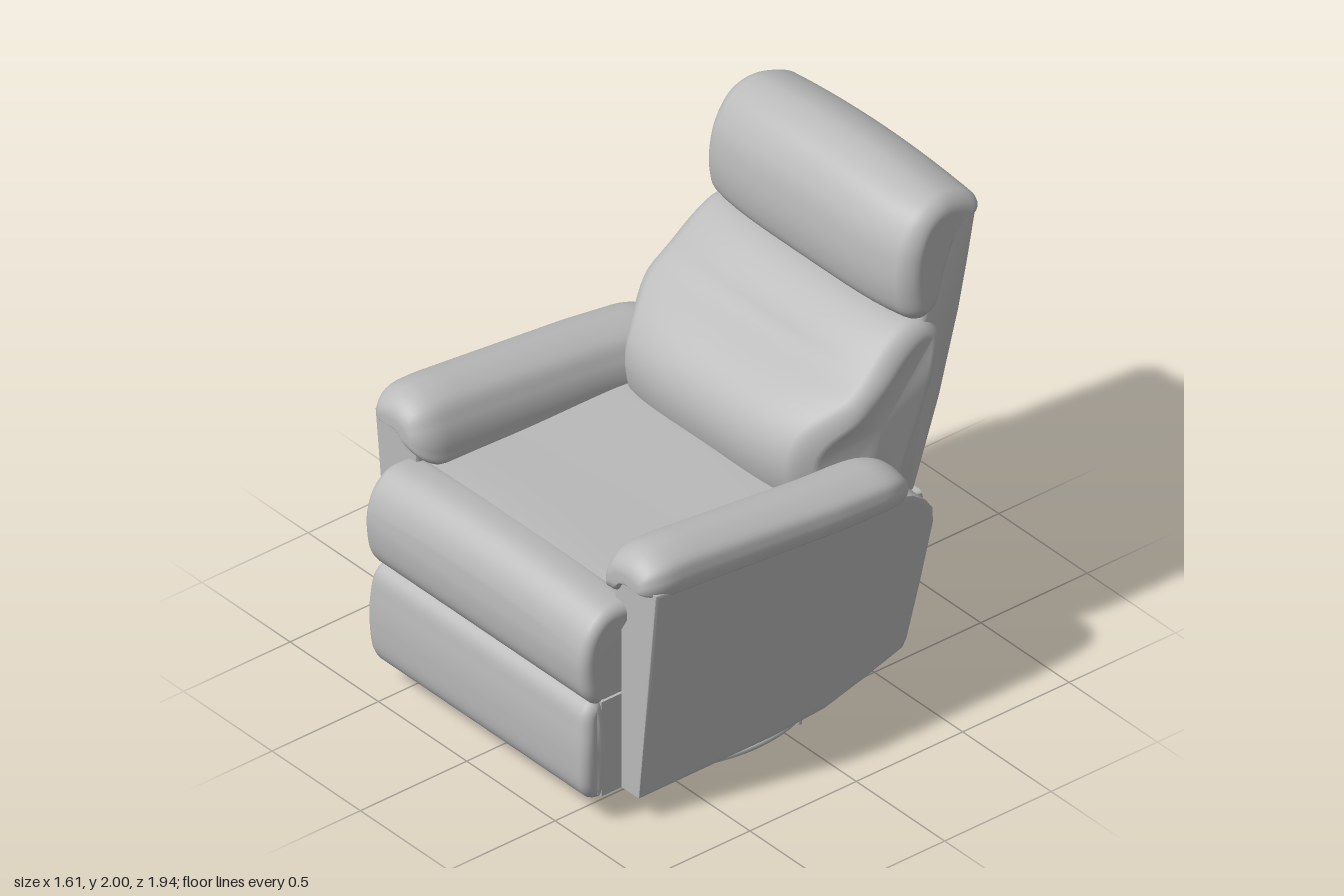
import * as THREE from 'three';
import { toCreasedNormals } from 'three/addons/utils/BufferGeometryUtils.js';

const leather = new THREE.MeshStandardMaterial({ color: 0xbababa });
leather.name = 'grey leather';
const { smoothstep, clamp } = THREE.MathUtils;

// Skin a row of closed rings of [x, y, z], cap both ends and face it outward
function loft(rings) {
  const n = rings[0].length, pos = rings.flat(2), idx = [];
  const centre = ring => [0, 1, 2].map(k => ring.reduce((s, p) => s + p[k], 0) / n);
  const last = rings.length - 1, c0 = rings.length * n;
  pos.push(...centre(rings[0]), ...centre(rings[last]));
  for (let j = 0; j < n; j++) {
    const k = (j + 1) % n;
    for (let i = 0; i < last; i++) {
      const a = i * n + j, b = i * n + k;
      idx.push(a, b, b + n, a, b + n, a + n);
    }
    idx.push(c0, k, j, c0 + 1, last * n + j, last * n + k);
  }
  // a negative volume means the corners run the wrong way
  const v = i => new THREE.Vector3(pos[3 * i], pos[3 * i + 1], pos[3 * i + 2]);
  let volume = 0;
  for (let i = 0; i < idx.length; i += 3) volume += v(idx[i]).dot(v(idx[i + 1]).cross(v(idx[i + 2])));
  if (volume < 0) idx.reverse();
  const g = new THREE.BufferGeometry();
  g.setAttribute('position', new THREE.Float32BufferAttribute(pos, 3));
  g.setIndex(idx);
  g.computeVertexNormals();
  return g;
}

// Smooth closed outline through [a, b] points
function outline(points, count) {
  const curve = new THREE.CatmullRomCurve3(points.map(p => new THREE.Vector3(p[0], p[1], 0)), true, 'centripetal');
  return curve.getSpacedPoints(count).slice(0, -1).map(p => new THREE.Vector2(p.x, p.y));
}

// Side profile of [z, y] points stretched across x, with edges rounded by r
function slab(profile, x0, x1, r, { smooth = true, warp = p => p } = {}) {
  const pts = smooth ? outline(profile, 64) : profile.map(p => new THREE.Vector2(...p));
  const sign = THREE.ShapeUtils.isClockWise(pts) ? -1 : 1, n = pts.length;
  const inward = pts.map((p, i) => {
    const t = pts[(i + 1) % n].clone().sub(pts[(i + n - 1) % n]).normalize();
    return new THREE.Vector2(-t.y * sign, t.x * sign);
  });
  const stations = [];
  for (let i = 0; i <= 6; i++) {
    const a = (i / 6) * Math.PI / 2;
    stations.push([x0 + r - r * Math.cos(a), r * (1 - Math.sin(a))]);
  }
  for (let i = 1; i < 14; i++) stations.push([x0 + r + (x1 - x0 - 2 * r) * i / 14, 0]);
  for (let i = 0; i <= 6; i++) {
    const a = (i / 6) * Math.PI / 2;
    stations.push([x1 - r + r * Math.sin(a), r * (1 - Math.cos(a))]);
  }
  const g = loft(stations.map(([x, d]) =>
    pts.map((p, i) => warp([x, p.y + inward[i].y * d, p.x + inward[i].x * d]))));
  return smooth ? g : toCreasedNormals(g, 0.6);
}

// Padded armrest that curls over the inner side of the panel
function armPad(side) {
  const pts = outline([[0.785, 0.04], [0.8, 0.18], [0.8, 0.5], [0.765, 0.83], [0.67, 1], [0.58, 0.86], [0.515, 0.4],
    [0.49, -0.2], [0.505, -0.55], [0.55, -0.5], [0.6, -0.12], [0.65, 0.06], [0.7, 0.12], [0.75, 0.06]], 56);
  const rings = [];
  for (let i = 0; i <= 40; i++) {
    const z = 0.165 + 0.64 * Math.cos(Math.PI * i / 40);
    const d = Math.max(0, (z - 0.675) / 0.13, (-0.32 - z) / 0.155);
    const e = Math.sqrt(Math.max(0, 1 - d * d));
    const top = Math.min(1.16, 1.16 - (0.6 - z) * 0.11), bottom = 0.9 + (z + 0.47) * 0.08;
    const shift = z < -0.1 ? (z + 0.1) * 0.06 : 0;
    rings.push(pts.map(p => [
      side * (0.66 + (p.x - 0.66) * (0.5 + 0.5 * e) + shift),
      bottom + (0.2 + (p.y - 0.2) * (0.25 + 0.75 * e)) * (top - bottom), z]));
  }
  return loft(rings);
}

export function createModel() {
  const model = new THREE.Group();
  const add = (name, geometry, x = 0, y = 0, z = 0) => {
    const mesh = new THREE.Mesh(geometry, leather);
    mesh.name = name;
    mesh.position.set(x, y, z);
    model.add(mesh);
    return mesh;
  };
  const box = (name, w, h, d, x, y, z) => add(name, new THREE.BoxGeometry(w, h, d), x, y, z);

  // Side panels flare outward to the top and narrow to the back
  const panel = [[0.77, 0.1], [0.77, 0.6], [0.77, 1.03], [0.35, 1.0], [-0.05, 0.96], [-0.42, 0.92], [-0.5, 0.885],
    [-0.57, 0.83], [-0.615, 0.77], [-0.625, 0.7], [-0.58, 0.45], [-0.53, 0.21], [-0.51, 0.18],
    [-0.3, 0.145], [-0.1, 0.12], [0.15, 0.1]];
  for (const side of [1, -1]) {
    const flare = ([x, y, z]) => {
      const outer = 0.7 + 0.1 * (y - 0.1) / 0.95 - Math.max(0, -0.1 - z) * 0.15;
      return [side * (0.56 + (outer - 0.56) * x), y, z];
    };
    // the unit-wide slab is squeezed to the panel thickness
    add('sidePanel', slab(panel, 0, 1, 0.025, { smooth: false, warp: flare }));
    add('armPad', armPad(side));
  }

  // Seat cushion, front roll and closed footrest
  const crown = w => ([x, y, z]) => [x, y + (y > 0.75 ? 0.03 * (1 - (x / w) ** 2) : 0), z];
  add('seatCushion', slab([[-0.4, 0.6], [-0.4, 0.86], [-0.2, 0.885], [0.3, 0.895], [0.75, 0.905], [0.85, 0.89],
    [0.88, 0.8], [0.85, 0.6], [0.7, 0.55], [0, 0.55]], -0.56, 0.56, 0.03, { warp: crown(0.56) }));
  add('seatFrontRoll', slab([[0.72, 0.89], [0.8, 0.91], [0.87, 0.9], [0.935, 0.84], [0.966, 0.75], [0.966, 0.66],
    [0.945, 0.57], [0.9, 0.52], [0.86, 0.54], [0.84, 0.65], [0.82, 0.75], [0.77, 0.81]],
  -0.63, 0.63, 0.04, { warp: crown(0.63) }));
  add('footrest', slab([[0.9, 0.525], [0.94, 0.49], [0.956, 0.4], [0.96, 0.28], [0.945, 0.15], [0.91, 0.105],
    [0.865, 0.1], [0.855, 0.2], [0.855, 0.4], [0.865, 0.51]], -0.625, 0.625, 0.04,
  { warp: ([x, y, z]) => [x * (0.975 + 0.025 * Math.sin(Math.PI * (y - 0.1) / 0.42)), y, z] }));
  box('footrestBacking', 1.2, 0.41, 0.1, 0, 0.305, 0.815);
  box('seatFrontBacking', 1.2, 0.3, 0.09, 0, 0.67, 0.815);

  // Backrest shell, slightly narrower to the top
  add('backShell', slab([[-0.95, 1.88], [-0.905, 1.66], [-0.86, 1.47], [-0.76, 1.13], [-0.635, 0.79], [-0.61, 0.75],
    [-0.36, 0.75], [-0.43, 1.0], [-0.67, 1.5], [-0.8, 1.88]], -0.58, 0.58, 0.03,
  { smooth: false, warp: ([x, y, z]) => [x * (1 - 0.05 * (y - 0.75) / 1.13), y, z] }));

  // Body cushion, narrowed at the front between the arms, with a soft crease across its middle
  const tuck = ([x, y, z]) => {
    const wide = 1 - 0.17 * smoothstep(z, -0.32, -0.08) - 0.035 * smoothstep(y, 1.25, 1.5);
    const across = Math.abs(x / 0.61);
    const crease = 0.03 * Math.exp(-(((y - 1.32) / 0.05) ** 2)) * (1 - across ** 2);
    return [x * wide, y, z - 0.05 * across ** 4 - crease];
  };
  add('backCushion', slab([[-0.14, 0.85], [-0.095, 0.97], [-0.1, 1.08], [-0.145, 1.165], [-0.25, 1.26], [-0.37, 1.35],
    [-0.49, 1.45], [-0.58, 1.495], [-0.65, 1.495], [-0.71, 1.44], [-0.68, 1.28], [-0.57, 1.0], [-0.49, 0.82],
    [-0.3, 0.78]], -0.61, 0.61, 0.07, { warp: tuck }));

  // Headrest wraps over the top of the shell, its front bowed back at the sides
  add('headrest', slab([[-0.63, 1.495], [-0.575, 1.53], [-0.55, 1.62], [-0.55, 1.74], [-0.575, 1.85], [-0.65, 1.955],
    [-0.78, 2.0], [-0.9, 1.97], [-0.965, 1.92], [-0.96, 1.87], [-0.87, 1.82], [-0.8, 1.7], [-0.72, 1.53]],
  -0.583, 0.583, 0.06, { warp: ([x, y, z]) => {
    const up = clamp((y - 1.5) / 0.5, 0, 1), across = Math.abs(x / 0.583);
    return [x * (1 - 0.03 * up * up - 0.025 * smoothstep(-z, 0.65, 0.95)), y - 0.045 * up * across ** 2,
      z - 0.05 * across ** 4 * smoothstep(z, -0.85, -0.55)];
  } }));
  add('lowerBackPanel', slab([[-0.635, 0.79], [-0.645, 0.76], [-0.54, 0.2], [-0.49, 0.19], [-0.58, 0.79]],
    -0.61, 0.61, 0.015, { smooth: false }));

  // Oval control on the right side panel
  const control = new THREE.Group();
  control.name = 'control';
  const rim = new THREE.Mesh(new THREE.TorusGeometry(0.04, 0.007, 8, 32), leather);
  rim.name = 'controlRim';
  rim.scale.set(1.5, 1, 1);
  control.add(rim);
  for (const x of [-0.022, 0.022]) {
    const button = new THREE.Mesh(new THREE.CylinderGeometry(0.017, 0.017, 0.014, 20), leather);
    button.name = 'controlButton';
    button.rotation.x = Math.PI / 2;
    button.position.x = x;
    control.add(button);
  }
  control.position.set(-0.772, 0.78, 0.4);
  control.rotation.y = -Math.PI / 2;
  model.add(control);

  // Swivel base: ring, crossed bars, feet and turning plates
  const cz = 0.155, R = 0.622;
  const ring = new THREE.TorusGeometry(R, 0.015, 10, 72);
  ring.rotateX(Math.PI / 2);
  add('baseRing', ring, 0, 0.031, cz);
  for (let i = 0; i < 4; i++) {
    const a = 0.385 + i * Math.PI / 2;
    add('baseFoot', new THREE.CylinderGeometry(0.014, 0.014, 0.02, 12), R * Math.cos(a), 0.01, cz - R * Math.sin(a));
  }
  for (const turn of [1, -1]) box('baseBar', 2 * R, 0.02, 0.035, 0, 0.034, cz).rotation.y = turn * Math.PI / 4;
  box('swivelPlate', 0.56, 0.012, 0.56, 0, 0.053, cz);
  box('turningPlate', 0.54, 0.01, 0.54, 0, 0.068, cz);

  // Steel frame under the seat
  for (const x of [-0.45, 0.45]) {
    box('frameRail', 0.025, 0.04, 0.75, x, 0.125, 0.25);
    box('frameLink', 0.015, 0.45, 0.035, x, 0.35, -0.1).rotation.x = -0.35;
    box('frameLink', 0.015, 0.45, 0.035, x, 0.35, 0.4).rotation.x = 0.35;
    box('plateRail', 0.03, 0.035, 0.54, x * 0.55, 0.09, cz);
  }
  for (const z of [-0.08, 0.4]) box('frameCrossbar', 0.9, 0.025, 0.03, 0, 0.1, z);
  return model;
}
